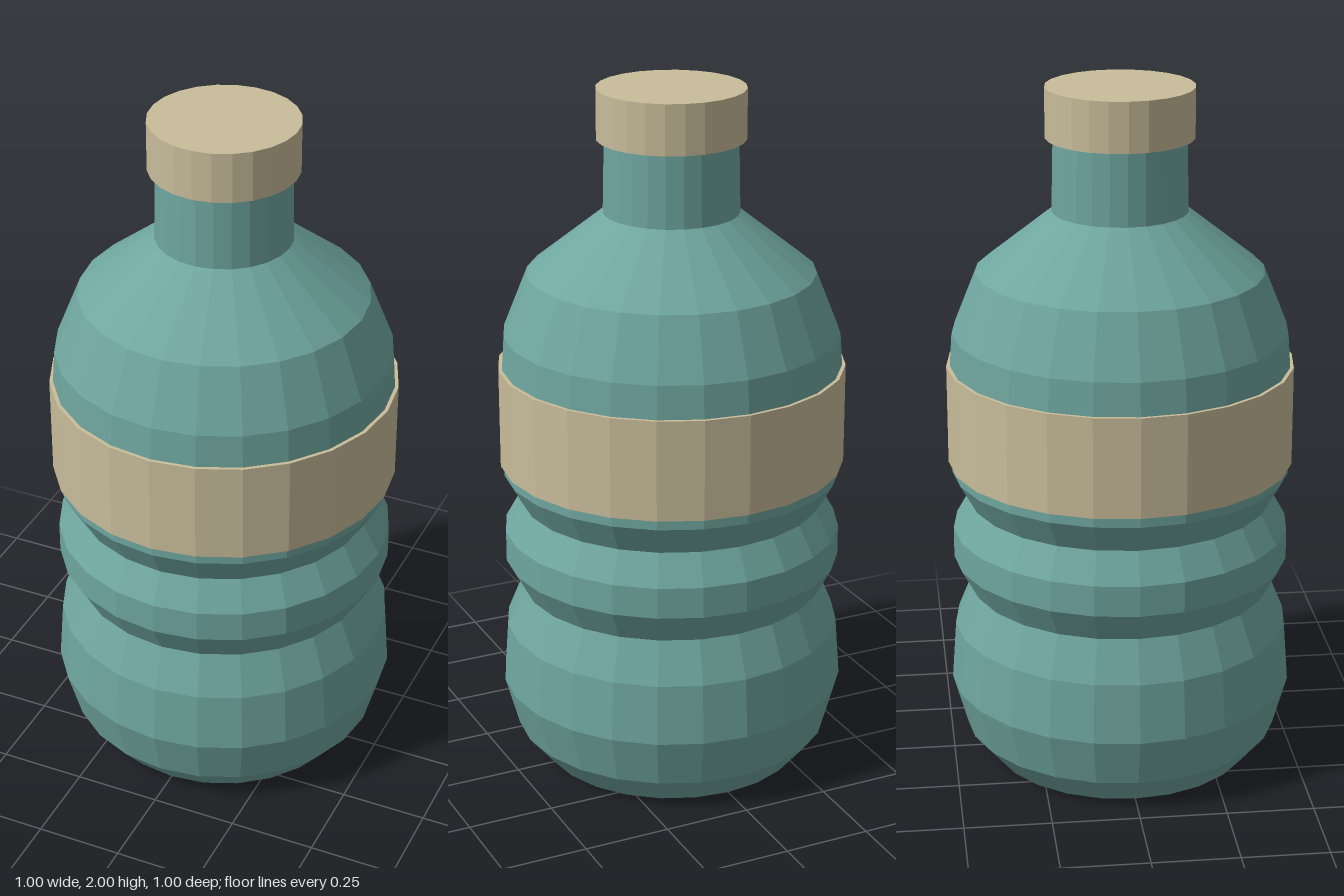
import * as THREE from 'three';

const SIDES = 24;

export function createModel() {
  const group = new THREE.Group();
  const teal = new THREE.MeshStandardMaterial({ color: 0x6fa69f, flatShading: true });
  const tan = new THREE.MeshStandardMaterial({ color: 0xc8bc9a, flatShading: true });

  // Turns a list of [radius, height] points around the y axis
  const turn = (name, profile, material) => {
    const points = profile.map(([r, y]) => new THREE.Vector2(r, y));
    const mesh = new THREE.Mesh(new THREE.LatheGeometry(points, SIDES), material);
    mesh.name = name;
    group.add(mesh);
  };

  // Bottle: rounded foot, two pinched grooves, shoulder
  turn('body', [
    [0, 0], [0.385, 0], [0.46, 0.09], [0.5, 0.235], [0.487, 0.41],
    [0.438, 0.53], [0.487, 0.62], [0.487, 0.71], [0.438, 0.797], [0.487, 0.885],
    [0.487, 1.2], [0.48, 1.3], [0.41, 1.475], [0.193, 1.648],
  ], teal);

  // Neck, running up into the cap
  turn('neck', [[0.193, 1.648], [0.188, 1.87]], teal);

  // Label band wrapped around the body
  turn('labelBand', [[0.48, 0.915], [0.497, 0.915], [0.497, 1.205], [0.48, 1.205]], tan);

  // Screw cap
  turn('cap', [[0, 1.857], [0.21, 1.857], [0.21, 2], [0, 2]], tan);

  return group;
}
